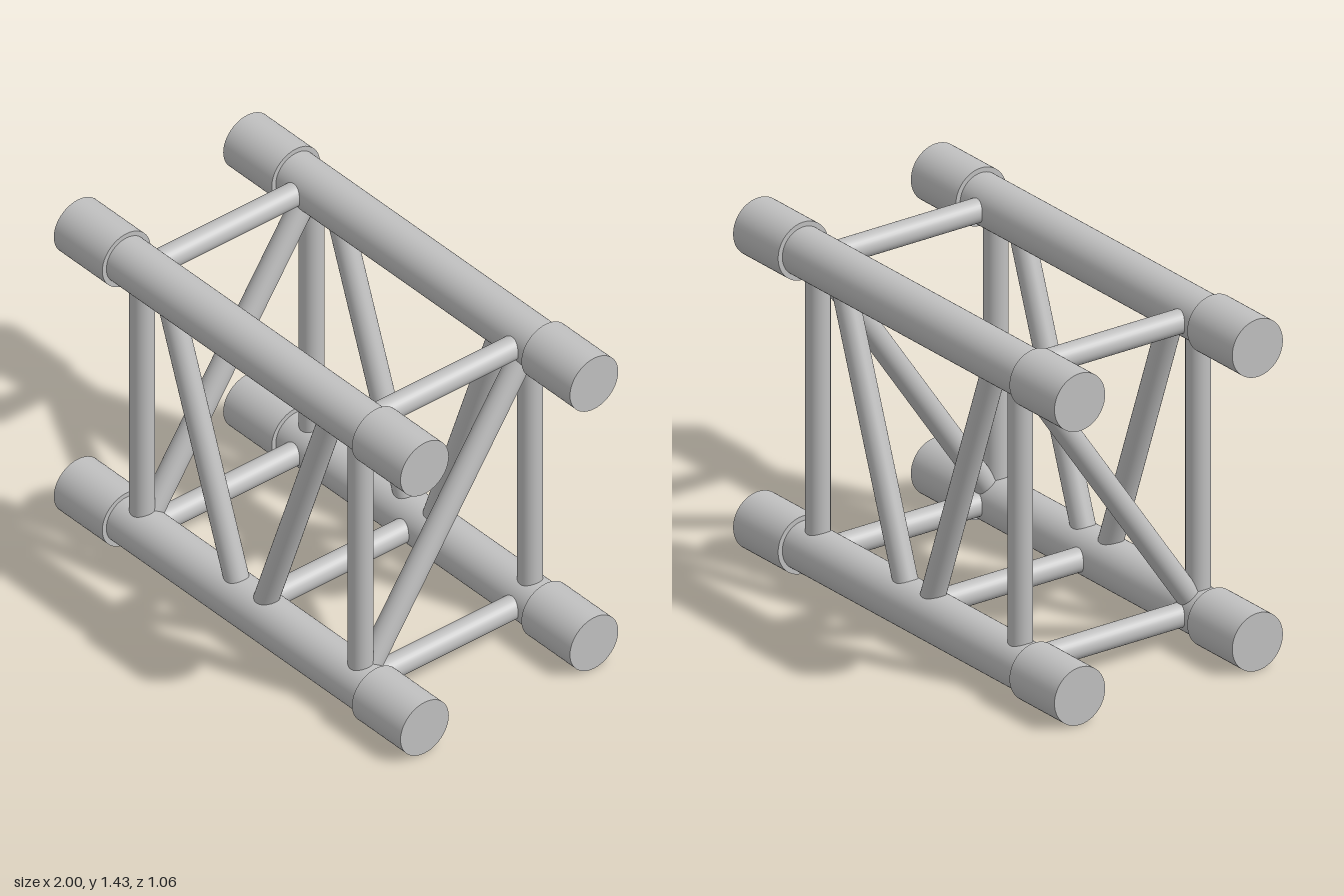
import * as THREE from 'three';

const TUBE_R = 0.098, SLEEVE_R = 0.1175, STRUT_R = 0.048;
const LOW = 0.1175, HIGH = 1.315, Z = 0.4125, POST_X = 0.63;

export function createModel() {
  const model = new THREE.Group();
  model.name = 'trussSegment';
  const metal = new THREE.MeshStandardMaterial({ color: 0xc0c0c0 });
  metal.name = 'grey metal';

  // Round bar between two points
  function bar(name, a, b, radius, segments = 32) {
    const start = new THREE.Vector3(...a), end = new THREE.Vector3(...b);
    const dir = end.clone().sub(start);
    const mesh = new THREE.Mesh(
      new THREE.CylinderGeometry(radius, radius, dir.length(), segments), metal);
    mesh.name = name;
    mesh.position.copy(start).add(end).multiplyScalar(0.5);
    mesh.quaternion.setFromUnitVectors(new THREE.Vector3(0, 1, 0), dir.normalize());
    model.add(mesh);
  }

  // Four main tubes with a thicker sleeve at each end
  for (const y of [LOW, HIGH]) {
    for (const z of [-Z, Z]) {
      bar('mainTube', [-0.73, y, z], [0.73, y, z], TUBE_R, 48);
      for (const s of [-1, 1]) bar('endSleeve', [s * 0.72, y, z], [s, y, z], SLEEVE_R, 48);
    }
  }

  for (const s of [-1, 1]) {
    const x = s * POST_X;
    // Upright posts and V braces on the front and back faces
    for (const z of [-Z, Z]) {
      bar('uprightPost', [x, LOW, z], [x, HIGH, z], STRUT_R);
      bar('vBrace', [s * 0.056, LOW, z], [s * 0.488, HIGH, z], STRUT_R);
    }
    // End frames: cross struts and a diagonal from front bottom to back top
    for (const y of [LOW, HIGH]) bar('crossStrut', [x, y, -Z], [x, y, Z], STRUT_R);
    bar('endDiagonal', [x, LOW, Z], [x, HIGH, -Z], STRUT_R);
  }

  // Single middle strut between the lower tubes
  bar('middleStrut', [0, LOW, -Z], [0, LOW, Z], STRUT_R);

  return model;
}
